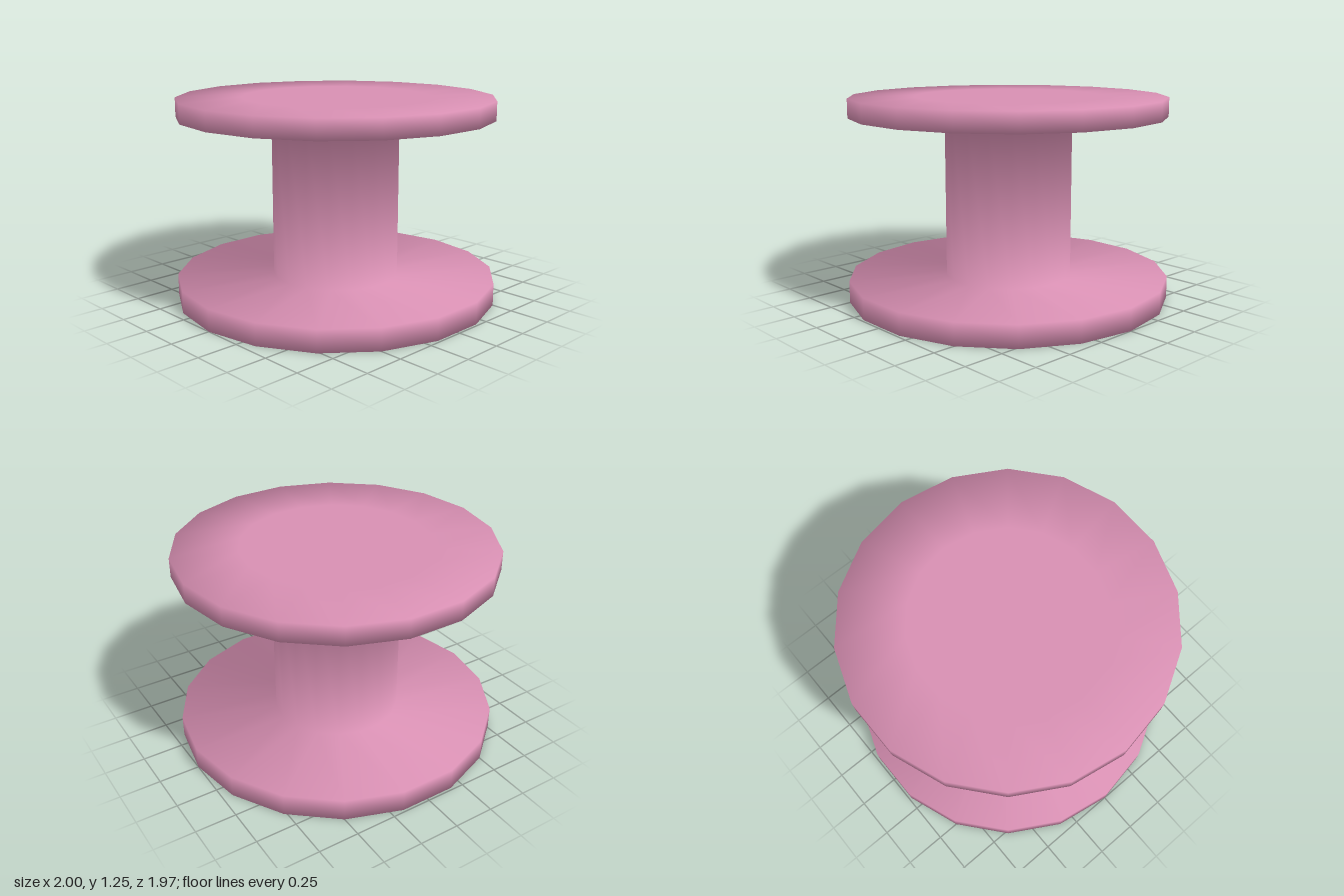
import * as THREE from 'three';

const SIDES = 18;

// Turned solid whose corner normals are the even average of the adjoining faces
function turned(profile, material) {
  const pts = profile.map(([r, y]) => new THREE.Vector2(r, y));
  const geo = new THREE.LatheGeometry(pts, SIDES, Math.PI / 2);
  const faceNormals = pts.slice(1).map((p, i) => {
    const d = p.clone().sub(pts[i]).normalize();
    return new THREE.Vector2(d.y, -d.x);
  });
  const normals = pts.map((p, i) => {
    const n = new THREE.Vector2();
    if (i > 0) n.add(faceNormals[i - 1]);
    if (i < faceNormals.length) n.add(faceNormals[i]);
    return n.normalize();
  });
  const attr = geo.attributes.normal;
  for (let s = 0, k = 0; s <= SIDES; s++) {
    const a = Math.PI / 2 + (s / SIDES) * Math.PI * 2;
    for (const n of normals) attr.setXYZ(k++, n.x * Math.sin(a), n.y, n.x * Math.cos(a));
  }
  return new THREE.Mesh(geo, material);
}

export function createModel() {
  const group = new THREE.Group();
  group.name = 'spool';
  const pink = new THREE.MeshStandardMaterial({ color: 0xd78fb2 });

  // Base flange, core and slightly smaller top flange in one continuous skin
  const body = turned([
    [0, 0], [1, 0], [1, 0.135],
    [0.395, 0.135], [0.395, 1.135],
    [0.975, 1.135], [0.975, 1.252],
    [0.58, 1.252], [0, 1.252],
  ], pink);
  body.name = 'spoolBody';
  group.add(body);
  return group;
}
